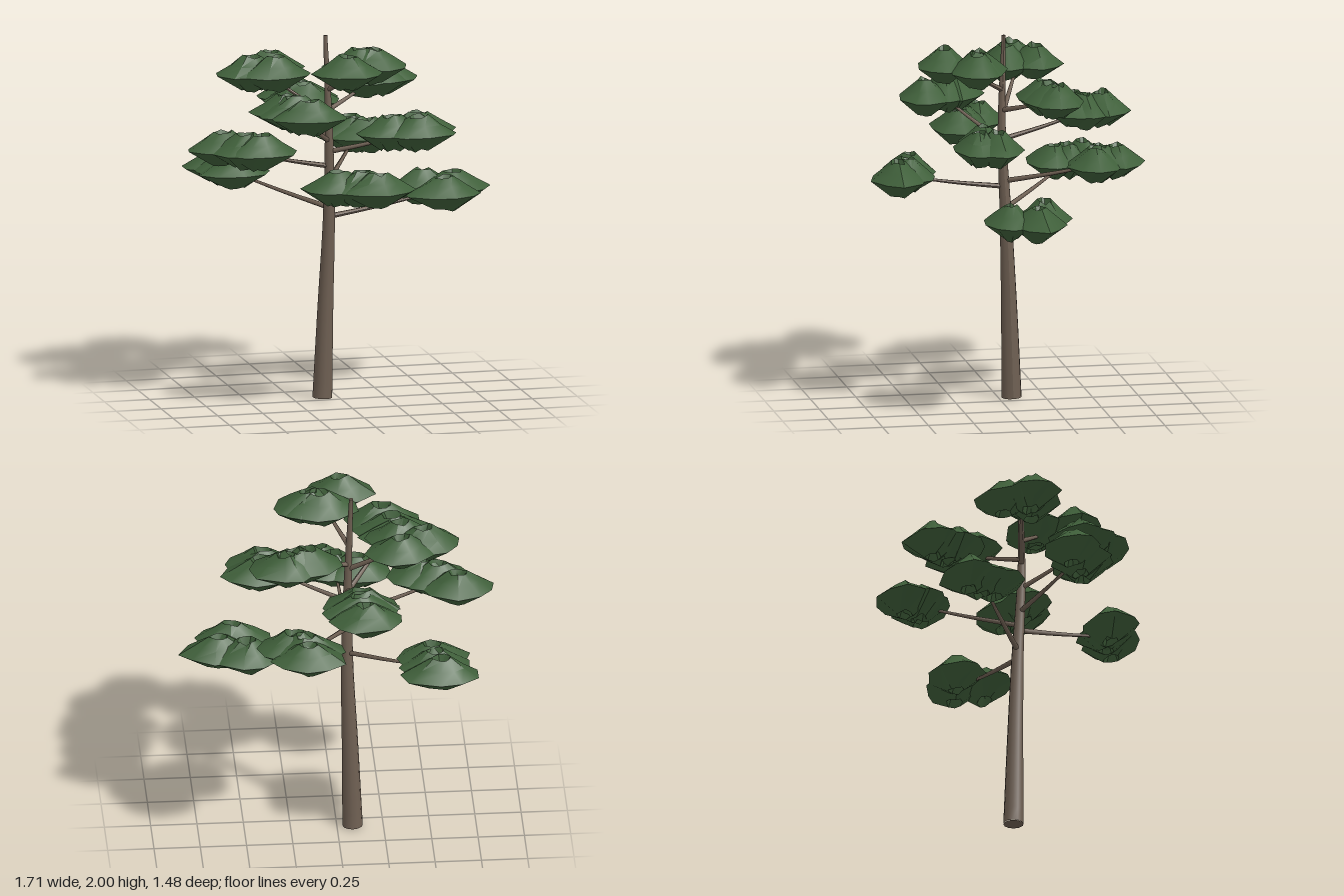
import * as THREE from 'three';
import { toCreasedNormals } from 'three/addons/utils/BufferGeometryUtils.js';

const bark = new THREE.MeshStandardMaterial({ color: 0x6e5f52 });
bark.name = 'bark';
const needles = new THREE.MeshStandardMaterial({ color: 0x3f5f3a, side: THREE.DoubleSide });
needles.name = 'needle green';

// seeded random numbers
let seed = 7;
const rand = () => (seed = (seed * 16807) % 2147483647) / 2147483647;
const jitter = (a) => 1 + (rand() * 2 - 1) * a;

// tube along a curve, tapering from r0 to r1
function taperedTube(points, r0, r1, segments, sides) {
  const curve = new THREE.CatmullRomCurve3(points.map((p) => new THREE.Vector3(...p)));
  const geo = new THREE.TubeGeometry(curve, segments, 1, sides, false);
  const pos = geo.attributes.position;
  const v = new THREE.Vector3();
  for (let i = 0; i <= segments; i++) {
    const c = curve.getPointAt(i / segments);
    const r = THREE.MathUtils.lerp(r0, r1, i / segments);
    for (let j = 0; j <= sides; j++) {
      const k = i * (sides + 1) + j;
      v.fromBufferAttribute(pos, k).sub(c).multiplyScalar(r).add(c);
      pos.setXYZ(k, v.x, v.y, v.z);
    }
  }
  geo.computeVertexNormals();
  return geo;
}

// flat tuft: pointed rim, dented and open at the top and bottom
const PROFILE = [[0.13, -0.045], [0.27, -0.092], [1, -0.005], [0.6, 0.045], [0.25, 0.092], [0.12, 0.045]];
function tuftGeometry() {
  const sides = 9;
  const outline = [];
  for (let j = 0; j < sides; j++) {
    const a = ((j + (rand() - 0.5) * 0.4) / sides) * Math.PI * 2;
    const k = jitter(0.09);
    outline.push([Math.cos(a) * 0.205 * k, Math.sin(a) * 0.148 * k]);
  }
  const pos = [];
  const idx = [];
  PROFILE.forEach(([r, y], i) => {
    for (let j = 0; j < sides; j++) {
      const [x, z] = outline[j];
      pos.push(x * r, y * jitter(0.12), z * r);
      if (i === PROFILE.length - 1) continue;
      const a = i * sides + j;
      const b = i * sides + ((j + 1) % sides);
      idx.push(a, a + sides, b, b, a + sides, b + sides);
    }
  });
  const geo = new THREE.BufferGeometry();
  geo.setAttribute('position', new THREE.Float32BufferAttribute(pos, 3));
  geo.setIndex(idx);
  return toCreasedNormals(geo, 0.6);
}

// trunk path and the point on it at height y
const TRUNK = [[-0.085, 0, -0.072], [-0.072, 0.5, -0.056], [-0.058, 1, -0.035], [-0.064, 1.5, -0.014], [-0.08, 2, -0.028]];
function trunkAt(y) {
  const i = Math.min(3, Math.floor(y / 0.5));
  const t = y / 0.5 - i;
  return TRUNK[i].map((c, k) => THREE.MathUtils.lerp(c, TRUNK[i + 1][k], t));
}

// each bough: rim height, height where it leaves the trunk, [x, z] of its tufts
const BOUGHS = [
  [1.115, 1.0, [[0.64, -0.08], [0.56, 0.06], [0.49, -0.14]]],
  [1.2, 1.05, [[-0.53, -0.55], [-0.5, -0.46], [-0.49, -0.38]]],
  [1.265, 1.17, [[-0.14, 0.48], [-0.02, 0.51], [0.06, 0.58]]],
  [1.345, 1.2, [[0.19, -0.59], [0.26, -0.46], [0.2, -0.5]]],
  [1.415, 1.28, [[-0.66, 0.0], [-0.56, 0.1], [-0.48, 0.15]]],
  [1.485, 1.36, [[0.24, 0.15], [0.4, 0.1], [0.38, 0.2]]],
  [1.565, 1.43, [[-0.12, -0.57], [-0.1, -0.47], [-0.11, -0.42]]],
  [1.64, 1.42, [[-0.27, 0.37], [-0.35, 0.19], [-0.32, 0.25]]],
  [1.71, 1.59, [[0.29, -0.25], [0.17, -0.2], [0.24, -0.22]]],
  [1.79, 1.56, [[-0.33, -0.25], [-0.34, -0.09], [-0.46, -0.15]]],
  [1.86, 1.7, [[-0.04, 0.31], [0.14, 0.16], [0.08, 0.14]]],
];

export function createModel() {
  const tree = new THREE.Group();
  tree.name = 'pineTree';
  const add = (parent, geo, mat, name) => {
    const mesh = new THREE.Mesh(geo, mat);
    mesh.name = name;
    parent.add(mesh);
    return mesh;
  };

  // trunk with closed ends
  add(tree, taperedTube(TRUNK, 0.055, 0.011, 24, 12), bark, 'trunk');
  const base = add(tree, new THREE.CircleGeometry(0.055, 12), bark, 'trunkBase');
  base.position.set(...TRUNK[0]);
  base.rotation.x = Math.PI / 2;
  const tip = add(tree, new THREE.CircleGeometry(0.011, 12), bark, 'trunkTip');
  tip.position.set(...TRUNK[4]);
  tip.rotation.x = -Math.PI / 2;

  // boughs: a curved branch carrying a cluster of tufts
  for (const [rim, root, tufts] of BOUGHS) {
    const bough = new THREE.Group();
    bough.name = 'bough';
    tree.add(bough);
    const start = trunkAt(root);
    const cx = tufts.reduce((s, t) => s + t[0], 0) / tufts.length;
    const cz = tufts.reduce((s, t) => s + t[1], 0) / tufts.length;
    const end = [cx, rim - 0.01, cz];
    const along = (t, lift) => start.map((c, k) => THREE.MathUtils.lerp(c, end[k], t) + (k === 1 ? lift : 0));
    add(bough, taperedTube([start, along(0.5, -0.005), end], 0.015, 0.006, 10, 6), bark, 'branch');
    for (const [x, z] of tufts) {
      const tuft = add(bough, tuftGeometry(), needles, 'needleTuft');
      tuft.position.set(x, rim, z);
    }
  }
  return tree;
}
